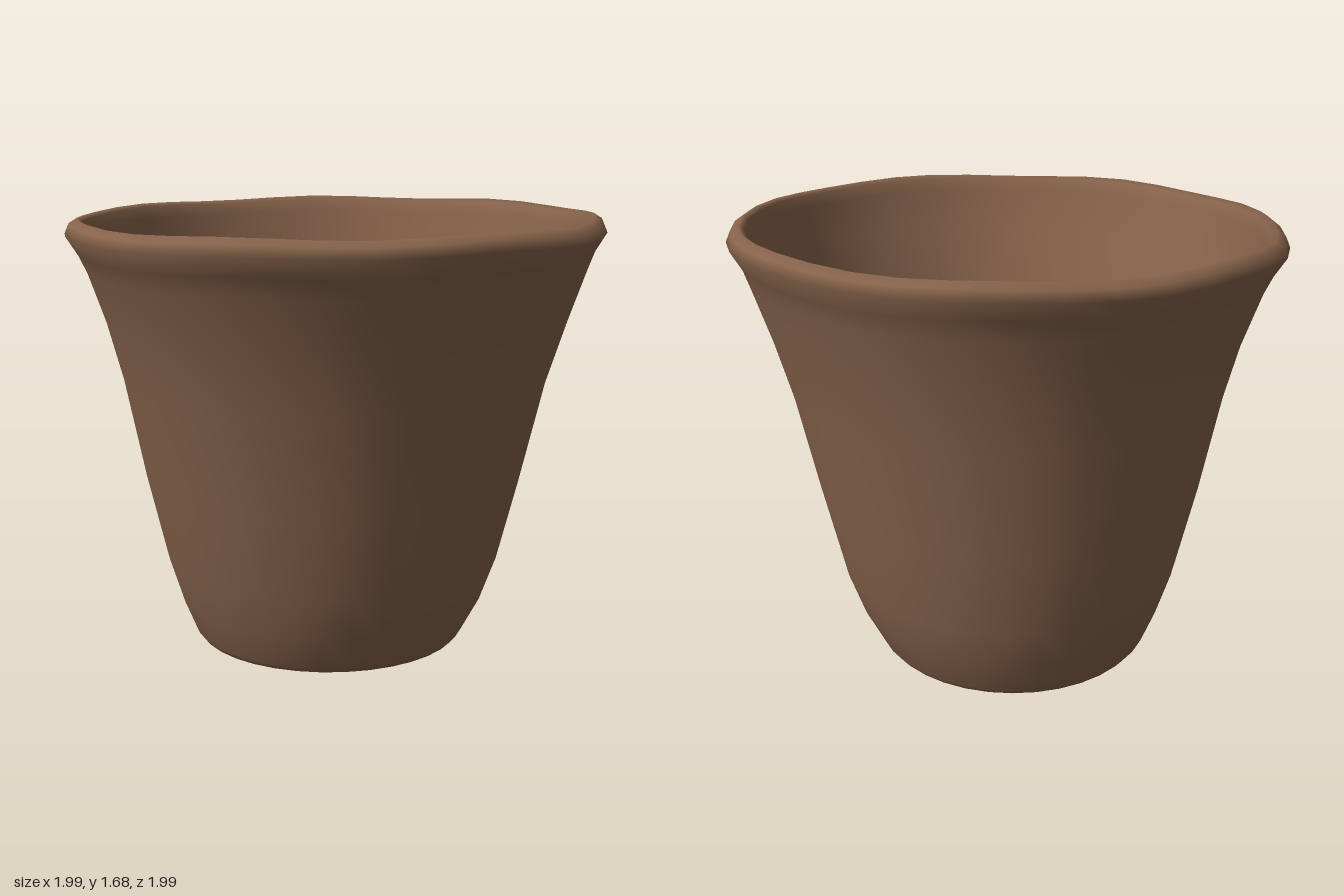
import * as THREE from 'three';

const SIDES = 36;

// Rings from the drain hole out, up the wall, over the lip and back down inside:
// [radius, height, centre x, centre z, tilt]
const RINGS = [
  [0.038, 0.045, -0.18, 0.03, 0],
  [0.08, 0.015, -0.17, 0.02, 0],
  [0.28, 0.006, -0.09, -0.03, 0],
  [0.46, 0.005, -0.06, -0.045, 0],
  [0.505, 0.016, -0.06, -0.045, 0],
  [0.525, 0.04, -0.06, -0.045, 0],
  [0.585, 0.17, -0.05, -0.045, 0],
  [0.642, 0.34, -0.045, -0.045, 0],
  [0.715, 0.65, -0.035, -0.035, 0.1],
  [0.795, 1.03, -0.02, -0.025, 0.3],
  [0.86, 1.26, -0.005, -0.015, 0.6],
  [0.925, 1.45, 0, -0.01, 0.9],
  [0.952, 1.515, 0, -0.005, 1],
  [0.993, 1.582, 0, -0.003, 1],
  [0.978, 1.618, 0, -0.003, 1],
  [0.948, 1.637, 0, -0.003, 1],
  [0.928, 1.625, 0, -0.003, 1],
  [0.915, 1.58, 0, -0.005, 1],
  [0.87, 1.42, 0, -0.01, 0.9],
  [0.735, 1.02, -0.015, -0.03, 0.3],
  [0.655, 0.65, -0.025, -0.04, 0.1],
  [0.57, 0.32, -0.025, -0.05, 0],
  [0.51, 0.17, -0.025, -0.05, 0],
  [0.44, 0.115, -0.025, -0.05, 0],
  [0.26, 0.1, -0.08, -0.02, 0],
  [0.075, 0.095, -0.17, 0.02, 0],
  [0.038, 0.07, -0.18, 0.03, 0],
];

// Closed loft through the rings, with a slight hand-made wobble and a sloping lip
function loftPot() {
  const positions = [], index = [];
  for (const [r, y, cx, cz, tilt] of RINGS) {
    for (let j = 0; j < SIDES; j++) {
      const a = (j / SIDES) * Math.PI * 2;
      const wobble = 1 + tilt * (0.004 * Math.sin(5 * a + 1) + 0.003 * Math.sin(9 * a));
      const x = cx + r * wobble * Math.sin(a);
      const z = cz + r * wobble * Math.cos(a);
      const dy = tilt * (-0.018 * x - 0.037 * z + 0.005 * Math.sin(7 * a));
      positions.push(x, y + dy, z);
    }
  }
  const n = RINGS.length;
  for (let i = 0; i < n; i++) {
    for (let j = 0; j < SIDES; j++) {
      const k = (j + 1) % SIDES, up = ((i + 1) % n) * SIDES, low = i * SIDES;
      index.push(low + j, low + k, up + j, low + k, up + k, up + j);
    }
  }
  const geometry = new THREE.BufferGeometry();
  geometry.setAttribute('position', new THREE.Float32BufferAttribute(positions, 3));
  geometry.setIndex(index);
  geometry.computeVertexNormals();
  return geometry;
}

export function createModel() {
  const group = new THREE.Group();
  group.name = 'flowerPot';
  const clay = new THREE.MeshStandardMaterial({ color: 0x87634b });
  clay.name = 'brownClay';
  const pot = new THREE.Mesh(loftPot(), clay);
  pot.name = 'potBody';
  group.add(pot);
  return group;
}
